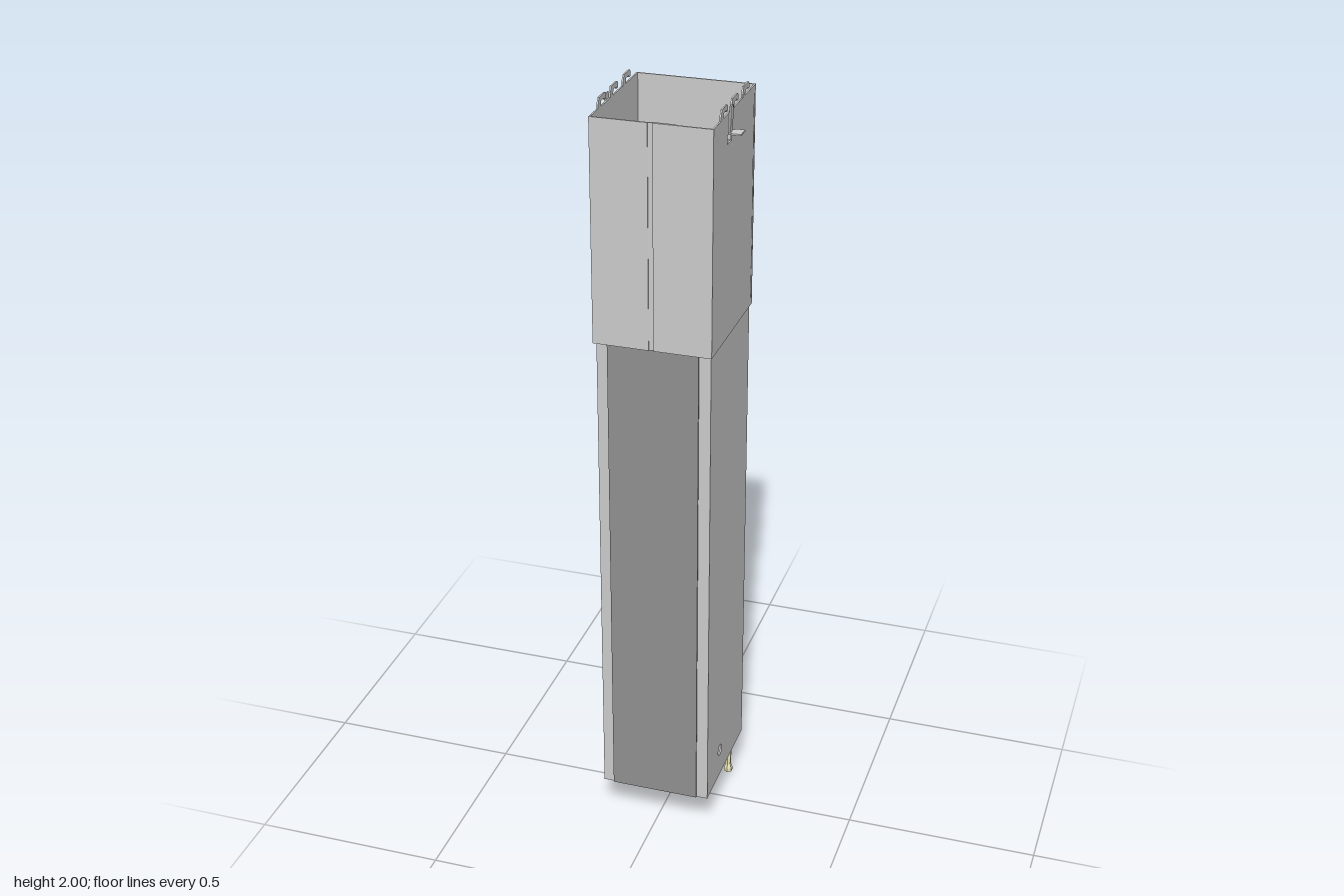
import * as THREE from 'three';

const steel = new THREE.MeshStandardMaterial({ color: 0xcccccc });
const coverGrey = new THREE.MeshStandardMaterial({ color: 0x909090 });
const brass = new THREE.MeshStandardMaterial({ color: 0xe6e3b4 });
const black = new THREE.MeshStandardMaterial({ color: 0x111111 });
const T = 0.004; // sheet thickness

const poly = (pts) => new THREE.Shape(pts.map(([x, y]) => new THREE.Vector2(x, y)));
const rect = (x0, y0, x1, y1) => poly([[x0, y0], [x1, y0], [x1, y1], [x0, y1]]);
const circle = (x, y, r) => new THREE.Shape().absarc(x, y, r, 0, Math.PI * 2);
// horizontal slot with round ends
function slot(x0, x1, y, r) {
  const s = new THREE.Shape();
  s.absarc(x1 - r, y, r, -Math.PI / 2, Math.PI / 2);
  s.absarc(x0 + r, y, r, Math.PI / 2, Math.PI * 1.5);
  return s.closePath(), s;
}

function add(group, name, geo, material = steel) {
  const m = new THREE.Mesh(geo, material);
  m.name = name;
  group.add(m);
  return m;
}
const extrude = (shape, depth) =>
  new THREE.ExtrudeGeometry(shape, { depth, bevelEnabled: false, curveSegments: 8 });
// sheet facing z, drawn in (x, y)
const sheetZ = (shape, z) => extrude(shape, T).translate(0, 0, z);
// sheet facing x, drawn in (z, y); x is the outer face of the side given by its sign
const sheetX = (shape, x) =>
  extrude(shape, T).rotateY(-Math.PI / 2).translate(x > 0 ? x : x + T, 0, 0);
function box(x0, x1, y0, y1, z0, z1) {
  return new THREE.BoxGeometry(x1 - x0, y1 - y0, z1 - z0)
    .translate((x0 + x1) / 2, (y0 + y1) / 2, (z0 + z1) / 2);
}
// bent strip: plan path [x, z] thickened by t and raised from y0 to y1
function strip(path, t, y0, y1) {
  const p = path.map(([x, z]) => new THREE.Vector2(x, -z));
  const side = (s) => p.map((q, i) => {
    const a = p[Math.max(i - 1, 0)], b = p[Math.min(i + 1, p.length - 1)];
    const d = b.clone().sub(a).normalize();
    return new THREE.Vector2(q.x - d.y * t * s, q.y + d.x * t * s);
  });
  const shape = new THREE.Shape([...side(-0.5), ...side(0.5).reverse()]);
  return extrude(shape, y1 - y0).rotateX(-Math.PI / 2).translate(0, y0, 0);
}

// inner channel with vent slots, side holes and front lips
function channel() {
  const g = new THREE.Group();
  g.name = 'channel';
  const y0 = 0.105, y1 = 1.83, X = 0.145, w = 0.103, top = 0.28, r = 0.025;
  const back = new THREE.Shape();
  back.moveTo(-X, y0).lineTo(-w, y0).lineTo(-w, top - r);
  back.quadraticCurveTo(-w, top, -w + r, top).lineTo(w - r, top);
  back.quadraticCurveTo(w, top, w, top - r);
  back.lineTo(w, y0).lineTo(X, y0).lineTo(X, y1).lineTo(-X, y1).closePath();
  for (const y of [1.245, 0.725]) {
    for (const dy of [-0.05, 0.05]) {
      back.holes.push(slot(-0.005, 0.1, y + dy, 0.009), slot(-0.095, -0.045, y + dy, 0.009));
    }
    back.holes.push(slot(0.004, 0.135, y, 0.009), slot(-0.132, -0.008, y, 0.009));
  }
  add(g, 'channelBack', sheetZ(back, -0.17));

  // tab in the back wall, folded into the foot plate
  const v = w - 0.005, u = top - 0.005;
  const tab = new THREE.Shape();
  tab.moveTo(-v, y0).lineTo(v, y0).lineTo(v, u - r).quadraticCurveTo(v, u, v - r, u);
  tab.lineTo(-v + r, u).quadraticCurveTo(-v, u, -v, u - r).closePath();
  add(g, 'backTab', sheetZ(tab, -0.17));
  add(g, 'footPlate', box(-0.1, 0.1, y0, y0 + T, -0.168, -0.087));

  for (const s of [-1, 1]) {
    const wall = rect(-0.17, y0, 0.16, y1);
    wall.holes.push(circle(0.045, 0.185, 0.016));
    add(g, 'channelSide', sheetX(wall, s * X));
    add(g, 'frontLip', box(s > 0 ? 0.08 : -X, s > 0 ? X : -0.08, y0, y1, 0.156, 0.16));
    // side foot with a hole for the pin
    const foot = rect(s * 0.122 - 0.019, 0.087, s * 0.122 + 0.019, 0.168);
    foot.holes.push(circle(s * 0.122, 0.12, 0.009));
    add(g, 'sideFoot', extrude(foot, T).rotateX(-Math.PI / 2).translate(0, y0, 0));
  }
  return g;
}

// snap-in front cover
function cover() {
  const g = new THREE.Group();
  g.name = 'frontCover';
  add(g, 'coverPanel', box(-0.117, 0.115, 0.105, 1.83, 0.1605, 0.1645), coverGrey);
  add(g, 'springClip', strip([[-0.08, 0.16], [-0.094, 0.145], [-0.08, 0.131]], 0.004, 0.105, 1.83), coverGrey);
  add(g, 'hookClip', strip([[0.079, 0.161], [0.079, 0.149], [0.094, 0.149]], 0.004, 0.105, 1.83), coverGrey);
  return g;
}

// upper sleeve with hooks and bent side tabs
function sleeve() {
  const g = new THREE.Group();
  g.name = 'sleeve';
  const y0 = 1.405, y1 = 1.975, X = 0.15;
  add(g, 'sleeveBack', sheetZ(rect(-X, y0, X, y1), -0.175));
  // overlapping front seam
  add(g, 'sleeveFrontLeft', box(0.004, X, y0, y1, 0.169, 0.173));
  add(g, 'sleeveFrontRight', box(-X, -0.008, y0, y1, 0.169, 0.173));
  add(g, 'seamLap', strip([[-0.008, 0.171], [0.002, 0.167], [0.06, 0.167]], 0.003, y0, y1));

  for (const s of [-1, 1]) {
    const wall = rect(-0.172, y0, 0.172, y1);
    wall.holes.push(rect(0.028, 1.902, 0.06, 1.924));
    // perforated fold along one back corner
    if (s > 0) {
      for (let i = 0; i < 7; i++) {
        const y = y0 + 0.02 + i * 0.078;
        wall.holes.push(rect(-0.17, y, -0.164, y + 0.06));
      }
    }
    add(g, 'sleeveSide', sheetX(wall, s * X));
    for (const z of [0.088, 0.002, -0.09]) {
      const hook = poly([[z + 0.028, y1 - 0.005], [z + 0.028, 1.985], [z + 0.02, 2], [z - 0.022, 2],
        [z - 0.028, 1.994], [z - 0.028, 1.983], [z - 0.018, 1.983], [z - 0.016, 1.988],
        [z + 0.006, 1.988], [z + 0.01, y1 - 0.005]]);
      add(g, 'topHook', sheetX(hook, s * X));
    }
    // outward tab: riser, neck and head
    const b = (a, c, ...rest) => box(Math.min(s * a, s * c), Math.max(s * a, s * c), ...rest);
    add(g, 'tabRiser', b(0.15, 0.154, 1.924, 1.99, 0.03, 0.05));
    add(g, 'tabNeck', b(0.148, 0.158, 1.924, 1.928, 0.027, 0.053));
    add(g, 'tabHead', b(0.157, 0.181, 1.924, 1.928, 0.022, 0.057));
  }
  return g;
}

// hollow pins under the side feet
function pin(x) {
  const pts = [[0.008, 0], [0.012, 0], [0.012, 0.01], [0.008, 0.022], [0.009, 0.1], [0.015, 0.104],
    [0.015, 0.118], [0.007, 0.118], [0.007, 0.01], [0.008, 0]].map(([r, y]) => new THREE.Vector2(r, y));
  const m = new THREE.Mesh(new THREE.LatheGeometry(pts, 6), brass.clone());
  m.material.flatShading = true;
  m.material.side = THREE.DoubleSide;
  m.name = 'pin';
  m.position.set(x, 0, -0.12);
  return m;
}

// earthing bracket with screw and washer
function bracket() {
  const g = new THREE.Group();
  g.name = 'bracket';
  add(g, 'bracketFoot', box(-0.052, 0, 0.14, 0.235, -0.166, -0.163));
  add(g, 'bracketWeb', box(-0.003, 0, 0.14, 0.235, -0.166, 0.075));
  const screw = new THREE.Group();
  screw.name = 'screw';
  const head = [[0, 0.016], [0.008, 0.0145], [0.015, 0.01], [0.0195, 0.003], [0.02, 0], [0, 0]]
    .reverse().map(([r, y]) => new THREE.Vector2(r, y));
  add(screw, 'screwHead', new THREE.LatheGeometry(head, 20));
  add(screw, 'washer', new THREE.CylinderGeometry(0.031, 0.031, 0.009, 24).translate(0, -0.0045, 0), black);
  const thread = [[0, -0.062]];
  for (let i = 0; i < 9; i++) thread.push([0.0075, -0.062 + i * 0.006], [0.0095, -0.059 + i * 0.006]);
  add(screw, 'threadedShank', new THREE.LatheGeometry(thread.map(([r, y]) => new THREE.Vector2(r, y)), 14));
  screw.rotation.z = Math.PI / 2;
  screw.position.set(-0.012, 0.185, 0.04);
  g.add(screw);
  return g;
}

export function createModel() {
  const model = new THREE.Group();
  model.name = 'serviceColumn';
  model.add(channel(), cover(), sleeve(), bracket(), pin(-0.122), pin(0.122));
  return model;
}
